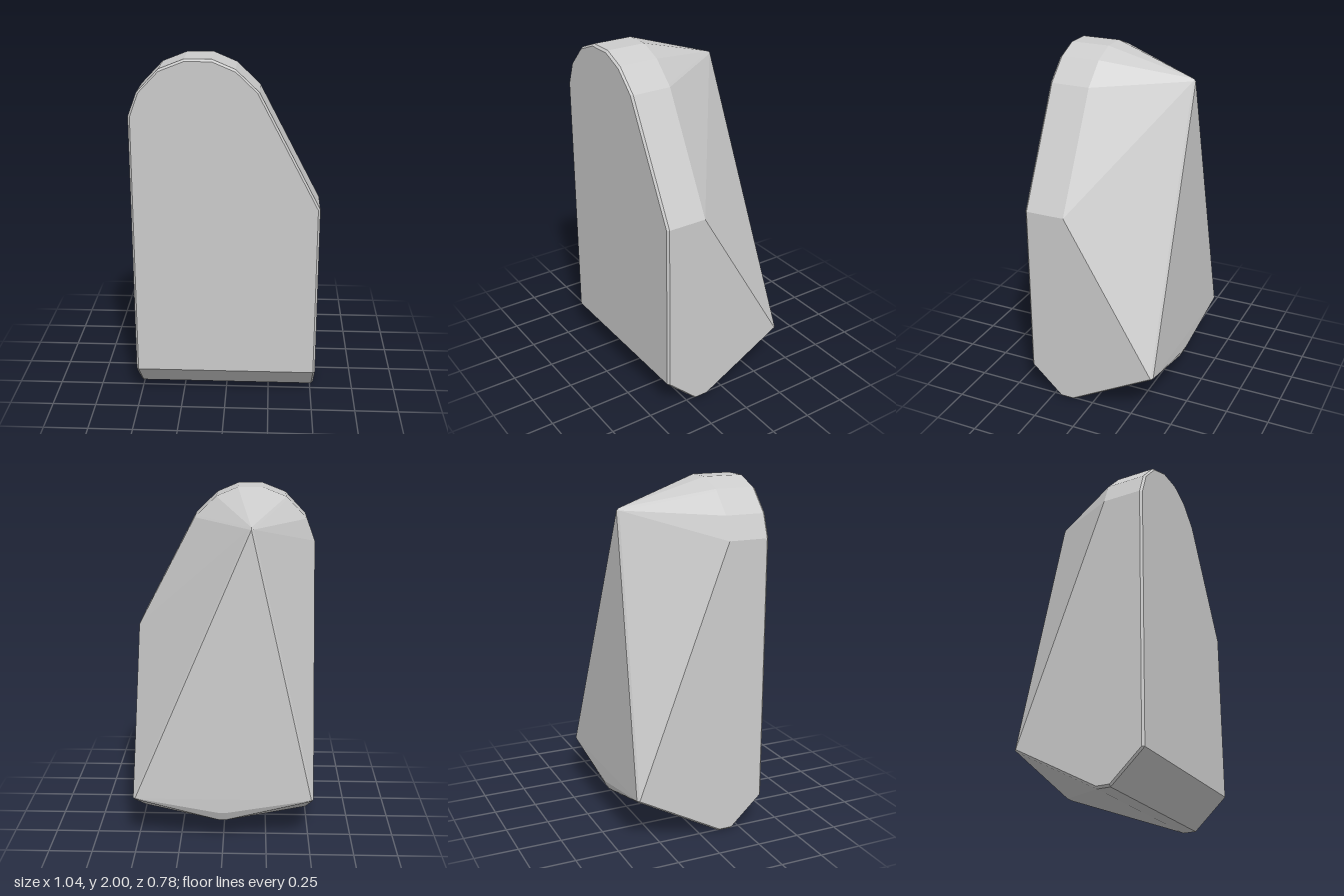
import * as THREE from 'three';
import { ConvexGeometry } from 'three/addons/geometries/ConvexGeometry.js';

const BEVEL = 0.012;

// Convex solid whose corners and edges are cut by a narrow bevel
function bevelledHull(corners, r) {
  const points = [];
  for (const [x, y, z] of corners) {
    for (const s of [-r, r]) {
      points.push(
        new THREE.Vector3(x + s, y, z),
        new THREE.Vector3(x, y + s, z),
        new THREE.Vector3(x, y, z + s)
      );
    }
  }
  return new ConvexGeometry(points);
}

export function createModel() {
  const group = new THREE.Group();
  group.name = 'facetedBlock';
  const corners = [];

  // Off-centre arch with a long sloping shoulder, extruded from front to mid depth
  const arch = [
    [-0.508, 1.69], [-0.46, 1.82], [-0.35, 1.935], [-0.215, 1.988],
    [-0.07, 1.988], [0.055, 1.935], [0.17, 1.825], [0.508, 1.18],
  ];
  for (const [x, y] of arch) corners.push([x, y, 0.378], [x, y, 0.15]);

  // Front lower edge, bottom strip and rear corners, mirrored left and right
  for (const x of [-0.508, 0.508]) {
    corners.push([x, 0.18, 0.378], [x, 0.012, 0.197], [x, 0.012, 0.12], [x, 0.285, -0.378]);
  }

  // Rear peak
  corners.push([-0.15, 1.835, -0.335]);

  // Small blunt keel low on the back
  for (const x of [-0.02, 0.03]) corners.push([x, 0.2, -0.378], [x, 0.15, -0.355]);

  const material = new THREE.MeshStandardMaterial({ color: 0xcccccc, flatShading: true });
  const body = new THREE.Mesh(bevelledHull(corners, BEVEL), material);
  body.name = 'body';
  group.add(body);
  return group;
}
